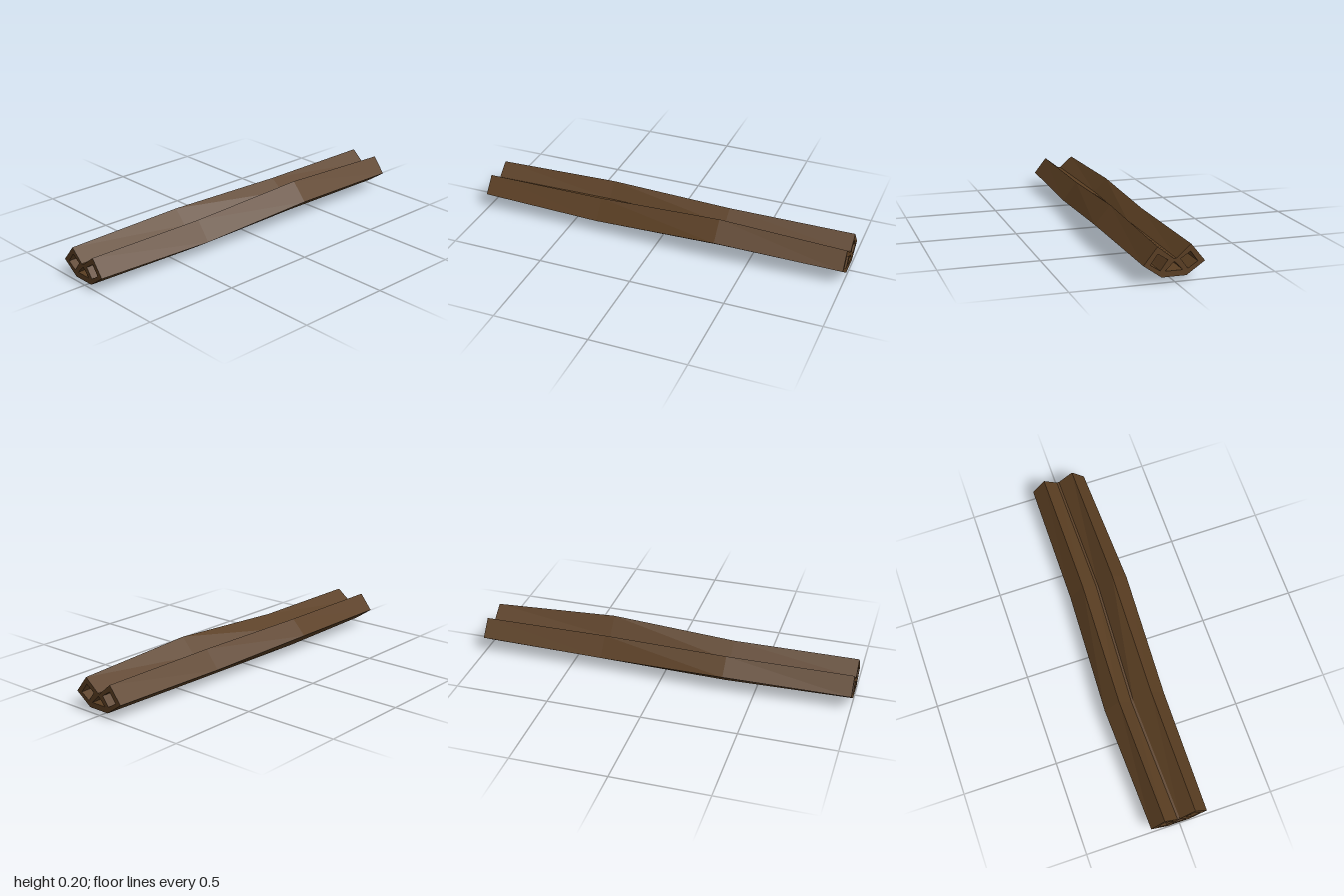
import * as THREE from 'three';

// Stations along the beam: z, outer outline (counter-clockwise), and how the hollows shift, turn and scale there
const stations = [
  { z: 1, shift: [0, 0], turn: 0, scale: 1,
    outer: [[-0.155, 0.088], [-0.065, 0.025], [0.055, 0.025], [0.143, 0.088], [0.076, 0.173], [-0.003, 0.111], [-0.015, 0.111], [-0.086, 0.173]] },
  { z: 0.34, shift: [-0.013, -0.007], turn: -0.083, scale: 1.08,
    outer: [[-0.178, 0.1], [-0.09, 0.029], [0.035, 0.002], [0.15, 0.073], [0.075, 0.172], [-0.02, 0.108], [-0.032, 0.108], [-0.1, 0.18]] },
  { z: -0.33, shift: [0.013, 0.007], turn: 0.083, scale: 1.1,
    outer: [[-0.147, 0.08], [-0.055, 0.018], [0.072, 0.036], [0.175, 0.11], [0.091, 0.205], [0.013, 0.119], [0.001, 0.119], [-0.074, 0.176]] },
  { z: -1, shift: [0.009, 0.002], turn: 0, scale: 1,
    outer: [[-0.146, 0.09], [-0.056, 0.028], [0.064, 0.028], [0.152, 0.09], [0.085, 0.175], [0.006, 0.113], [-0.006, 0.113], [-0.077, 0.175]] },
];

// Hollows (clockwise), in the front section
const axis = -0.005;
const rightHole = [[-0.12, 0.089], [-0.084, 0.138], [-0.036, 0.107], [-0.072, 0.058]];
const leftHole = rightHole.map(([x, y]) => [2 * axis - x, y]).reverse();
const middleHole = [[-0.048, 0.054], [axis, 0.097], [0.038, 0.054]];
const holes = [rightHole, leftHole, middleHole];

// Places a hollow at a station
function place(loop, { shift, turn, scale }) {
  const centre = new THREE.Vector2(axis, 0.09);
  return loop.map(([x, y]) => {
    const p = new THREE.Vector2(x, y).sub(centre).multiplyScalar(scale)
      .rotateAround(new THREE.Vector2(), turn).add(centre);
    return [p.x + shift[0], p.y + shift[1]];
  });
}

function makeGeometry(positions) {
  const g = new THREE.BufferGeometry();
  g.setAttribute('position', new THREE.Float32BufferAttribute(positions, 3));
  g.computeVertexNormals();
  return g;
}

// Skin through one loop per station
function loft(loops) {
  const out = [];
  for (let i = 0; i < loops.length - 1; i++) {
    const n = loops[i].length;
    for (let j = 0; j < n; j++) {
      const k = (j + 1) % n;
      const a = [...loops[i][j], stations[i].z], b = [...loops[i][k], stations[i].z];
      const c = [...loops[i + 1][j], stations[i + 1].z], d = [...loops[i + 1][k], stations[i + 1].z];
      out.push(...a, ...c, ...b, ...b, ...c, ...d);
    }
  }
  return makeGeometry(out);
}

// End face pierced by the hollows
function endCap(station, faceBack) {
  const toVec = (loop) => loop.map(([x, y]) => new THREE.Vector2(x, y));
  const outer = toVec(station.outer);
  const inner = holes.map((h) => toVec(place(h, station)));
  const points = [...outer, ...inner.flat()];
  const out = [];
  for (const tri of THREE.ShapeUtils.triangulateShape(outer, inner)) {
    const order = faceBack ? [...tri].reverse() : tri;
    for (const i of order) out.push(points[i].x, points[i].y, station.z);
  }
  return makeGeometry(out);
}

export function createModel() {
  const group = new THREE.Group();
  group.name = 'hollowBeam';
  const wood = new THREE.MeshStandardMaterial({ color: 0x5a3e22, flatShading: true });
  wood.name = 'dark brown';
  const add = (name, geometry) => {
    const mesh = new THREE.Mesh(geometry, wood);
    mesh.name = name;
    group.add(mesh);
  };

  // Outside of the bent beam
  add('outerShell', loft(stations.map((s) => s.outer)));
  // Walls of the three channels
  ['rightChannel', 'leftChannel', 'middleChannel'].forEach((name, i) =>
    add(name, loft(stations.map((s) => place(holes[i], s)))));
  // Ends
  add('frontEnd', endCap(stations[0], false));
  add('backEnd', endCap(stations[3], true));
  return group;
}
